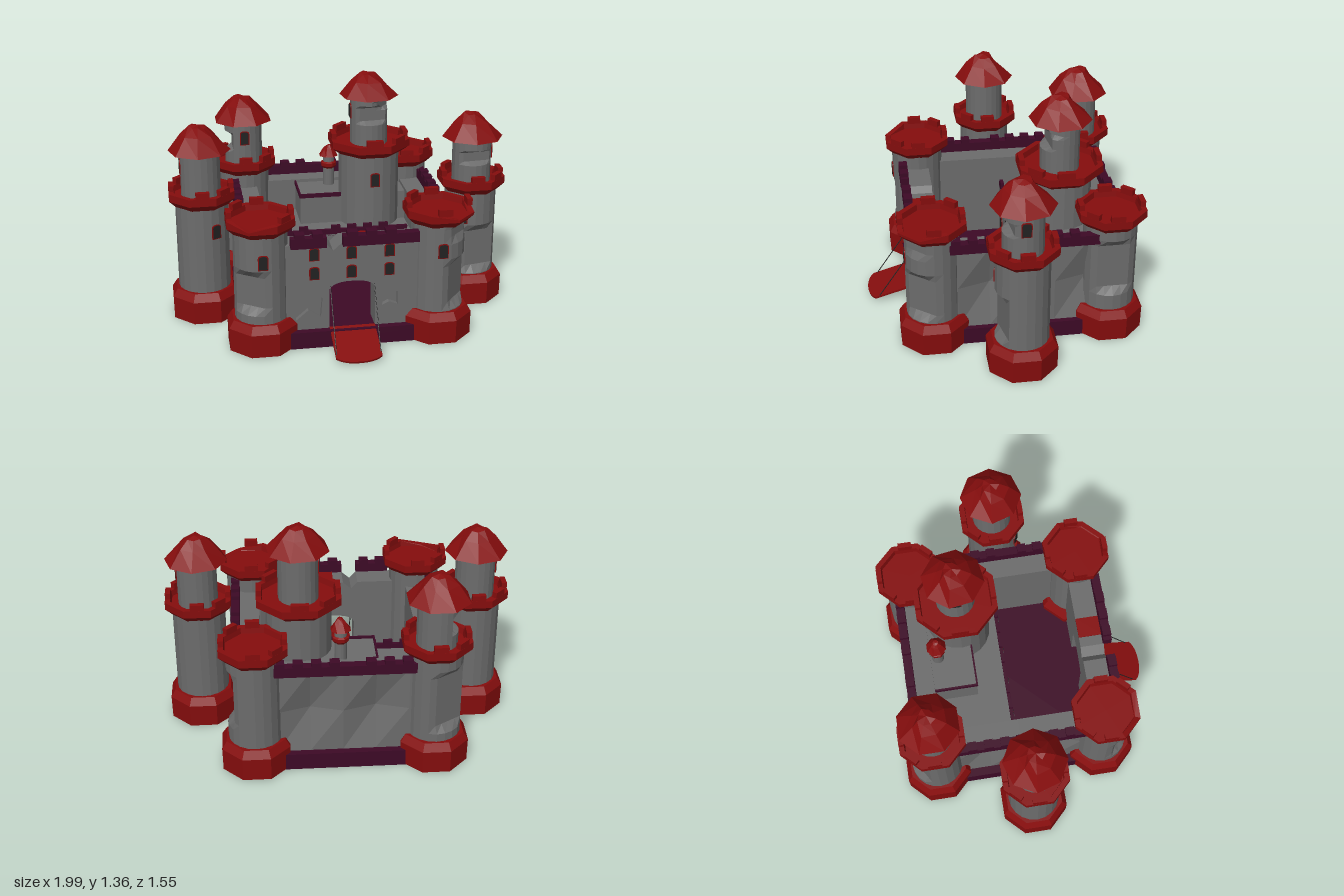
import * as THREE from 'three';

const mat = (name, hex) => {
  const m = new THREE.MeshStandardMaterial({ color: hex });
  m.name = name;
  return m;
};

export function createModel() {
  const castle = new THREE.Group();
  castle.name = 'castle';
  const stone = mat('stone grey', 0x6c6c6c);
  const red = mat('roof red', 0x850d0d);
  const purple = mat('dark purple', 0x3d0a26);
  const dark = mat('window dark', 0x222222);

  // Faceted mesh helper
  const add = (parent, name, geo, material, x = 0, y = 0, z = 0) => {
    const g = geo.index ? geo.toNonIndexed() : geo;
    g.computeVertexNormals();
    const m = new THREE.Mesh(g, material);
    m.name = name;
    m.position.set(x, y, z);
    parent.add(m);
    return m;
  };
  // Box given by its limits
  const block = (name, material, x0, x1, y0, y1, z0, z1) =>
    add(castle, name, new THREE.BoxGeometry(x1 - x0, y1 - y0, z1 - z0), material,
      (x0 + x1) / 2, (y0 + y1) / 2, (z0 + z1) / 2);
  const edit = (geo, rule) => {
    const p = geo.attributes.position, v = new THREE.Vector3();
    for (let i = 0; i < p.count; i++) {
      rule(v.fromBufferAttribute(p, i));
      p.setXYZ(i, v.x, v.y, v.z);
    }
    return geo;
  };
  // Octagonal turned part: radii are measured to the flats
  const octagon = pts => new THREE.LatheGeometry(
    pts.map(([r, y]) => new THREE.Vector2(r * 1.08, y)), 8).rotateY(Math.PI / 8);

  // Round shaft; each scar [angle, y0, y1, depth] slices a flat off the side
  const shaft = (parent, name, r, y0, y1, scars = []) => {
    const geo = new THREE.CylinderGeometry(r, r, y1 - y0, 20, 16).translate(0, (y0 + y1) / 2, 0);
    edit(geo, v => scars.forEach(([a, lo, hi, keep = 0.74]) => {
      const sx = Math.sin(a), sz = Math.cos(a), d = v.x * sx + v.z * sz - r * keep;
      if (v.y > lo && v.y < hi && d > 0) { v.x -= sx * d; v.z -= sz * d; }
    }));
    add(parent, name, geo, stone);
  };
  // Flared battlement with a floor; chip lowers the rim in one direction
  const crown = (parent, r, out, y, chip) => {
    const near = a => chip !== undefined && Math.cos(a - chip) > 0.75;
    const geo = octagon([[r, y], [out, y + 0.04], [out, y + 0.085],
      [out - 0.03, y + 0.085], [out - 0.035, y + 0.05], [0, y + 0.05]]);
    edit(geo, v => {
      if (v.y > y + 0.08 && near(Math.atan2(v.x, v.z))) v.y -= 0.03;
    });
    add(parent, 'battlement', geo, red);
    for (let i = 0; i < 8; i++) {
      const a = i * Math.PI / 4;
      if (near(a) || i % 4 === 3) continue;
      const m = add(parent, 'merlon', new THREE.BoxGeometry(out * 0.42, 0.04, 0.03), red,
        Math.sin(a) * (out - 0.016), y + 0.1, Math.cos(a) * (out - 0.016));
      m.rotation.y = a;
    }
  };
  // Blunt, slightly crooked roof
  const roof = (parent, r, y, h, turn) => {
    const geo = octagon([[0, 0], [r, 0], [r * 0.55, h * 0.62], [r * 0.27, h * 0.93], [0, h]]);
    edit(geo, v => {
      if (v.y > 0.1 * h && v.y < 0.99 * h) {
        const k = Math.sin(v.x * 90 + v.z * 57 + turn);
        v.x *= 1 + 0.12 * k; v.z *= 1 + 0.12 * k; v.y += 0.05 * h * k;
      }
    });
    add(parent, 'roof', geo, red, 0, y, 0).rotation.y = turn;
  };
  // Arched window plate with a red surround
  const archShape = (w, h) => {
    const s = new THREE.Shape();
    s.moveTo(-w / 2, -h / 2).lineTo(w / 2, -h / 2).lineTo(w / 2, h / 2 - w * 0.3);
    s.quadraticCurveTo(w / 2, h / 2, 0, h / 2).quadraticCurveTo(-w / 2, h / 2, -w / 2, h / 2 - w * 0.3);
    return s;
  };
  const plate = s => new THREE.ExtrudeGeometry(s, { depth: 0.006, bevelEnabled: false, curveSegments: 4 });
  const windowAt = (parent, x, y, z, a = 0, h = 0.07) => {
    const g = new THREE.Group();
    g.name = 'window';
    add(g, 'windowFrame', plate(archShape(0.058, h + 0.008)), red);
    add(g, 'windowPane', plate(archShape(0.047, h - 0.002)), dark, 0, 0, 0.003);
    g.position.set(x, y, z);
    g.rotation.y = a;
    parent.add(g);
  };
  const towerWindow = (t, a, r, y) => windowAt(t, Math.sin(a) * r, y, Math.cos(a) * r, a, 0.08);

  // Outer towers
  const H = Math.PI / 2;
  const towers = [
    { x: -0.515, z: 0.42, chip: -0.4, scars: [[-0.6, 0.27, 0.49]], win: 0 },
    { x: 0.49, z: 0.42, chip: 0.8, scars: [[0.9, 0.2, 0.47], [0.8, 0.62, 0.72, 0.85]], win: 0 },
    { x: -0.515, z: -0.585, scars: [[-2.6, 0.28, 0.62]], top: [[-H, 0.84, 0.94, 0.6]], topWin: 0 },
    { x: 0.49, z: -0.585, scars: [[H, 0.32, 0.62]] },
    { x: -0.81, z: -0.04, win: 0.5, scars: [], top: [], topWin: -H, turn: 0.3 },
    { x: 0.8, z: -0.04, win: -0.5, scars: [[0.2, 0.2, 0.5]], top: [[0.1, 0.87, 0.94, 0.6]], topWin: H, turn: 0.3 },
  ];
  towers.forEach(t => {
    const g = new THREE.Group();
    g.name = 'tower';
    g.position.set(t.x, 0, t.z);
    add(g, 'towerBase', octagon([[0.145, 0.003], [0.19, 0.003], [0.192, 0.14], [0.165, 0.185], [0.14, 0.185]]), red);
    shaft(g, 'towerShaft', 0.153, 0.01, 0.73, t.scars);
    crown(g, 0.15, 0.188, 0.7, t.chip);
    if (t.win !== undefined) towerWindow(g, t.win, 0.15, 0.56);
    if (t.top) {
      shaft(g, 'upperShaft', 0.115, 0.74, 1.03, t.top);
      roof(g, 0.167, 1.02, 0.15, t.turn || 0);
      towerWindow(g, t.topWin, 0.112, 0.93);
    }
    castle.add(g);
  });

  // Ground slab
  block('groundSlab', purple, -0.62, 0.6, 0, 0.1, -0.69, 0.54);

  // Front wall: notched top, open gate, scarred outer layer
  const frontWall = (z, depth, scars) => {
    const s = new THREE.Shape();
    s.moveTo(-0.56, 0.1).lineTo(-0.14, 0.1).lineTo(-0.14, 0.34);
    s.quadraticCurveTo(-0.12, 0.385, -0.01, 0.385).quadraticCurveTo(0.1, 0.385, 0.12, 0.34);
    s.lineTo(0.12, 0.1).lineTo(0.56, 0.1).lineTo(0.56, 0.62).lineTo(-0.07, 0.62);
    s.lineTo(-0.12, 0.575).lineTo(-0.16, 0.62).lineTo(-0.56, 0.62);
    scars.forEach(p => s.holes.push(new THREE.Path(p.map(([x, y]) => new THREE.Vector2(x, y)))));
    add(castle, 'frontWall', new THREE.ExtrudeGeometry(s, { depth, bevelEnabled: false, curveSegments: 6 }), stone, 0, 0, z);
  };
  frontWall(0.36, 0.11, []);
  frontWall(0.47, 0.03, [
    [[-0.33, 0.16], [-0.34, 0.31], [-0.26, 0.34], [-0.18, 0.29], [-0.19, 0.17], [-0.26, 0.22]],
    [[0.16, 0.22], [0.18, 0.31], [0.25, 0.3], [0.25, 0.22], [0.2, 0.24]]]);
  for (const x of [-0.225, -0.015, 0.2]) for (const y of [0.445, 0.56]) windowAt(castle, x, y, 0.498);
  block('gateWalkway', red, -0.01, 0.11, 0.617, 0.625, 0.36, 0.5);

  // Side and back walls with battered outer faces
  const batteredWall = (w, x, z, turn, dents) => {
    const geo = new THREE.BoxGeometry(w, 0.52, 0.12, 6, 2, 1);
    edit(geo, v => {
      if (v.z > 0 && Math.abs(v.y) < 0.1)
        dents.forEach(i => { if (Math.abs(v.x - (i / 6 - 0.5) * w) < 0.01) v.z -= 0.055; });
    });
    add(castle, 'curtainWall', geo, stone, x, 0.36, z).rotation.y = turn;
  };
  batteredWall(1.1, 0, -0.59, Math.PI, [2, 4]);
  batteredWall(1.1, -0.51, -0.08, -H, [2, 4]);
  batteredWall(1.1, 0.51, -0.08, H, [2, 5]);

  // Crenellated parapets along a line
  const parapet = (x, y, z, length, turn, h = 0.06, t = 0.05) => {
    const g = new THREE.Group();
    g.name = 'parapet';
    add(g, 'parapetRail', new THREE.BoxGeometry(length, h, t), purple, 0, h / 2, 0);
    const n = Math.max(2, Math.round(length / 0.1));
    for (let i = 0; i < n; i++)
      if (i % 5 !== 3) add(g, 'parapetMerlon', new THREE.BoxGeometry(length / n * 0.55, 0.025, t), purple,
        (i + 0.5) * length / n - length / 2, h + 0.012, 0);
    g.position.set(x, y, z);
    g.rotation.y = turn;
    castle.add(g);
  };
  parapet(-0.26, 0.615, 0.52, 0.2, 0);
  parapet(0.145, 0.615, 0.52, 0.43, 0);
  parapet(0, 0.615, -0.665, 0.8, 0);
  for (const x of [-0.59, 0.59]) parapet(x, 0.615, -0.08, 0.85, H);

  // Inner hall and raised terrace
  block('innerHall', stone, -0.46, 0.46, 0.1, 0.42, -0.54, -0.09);
  parapet(-0.01, 0.41, -0.1, 0.88, 0, 0.04, 0.02);
  block('terrace', stone, -0.2, 0.46, 0.42, 0.6, -0.54, -0.28);
  block('terraceTrim', purple, -0.205, 0.05, 0.59, 0.615, -0.285, -0.275);
  block('terraceTrim', purple, -0.205, -0.195, 0.59, 0.615, -0.53, -0.275);
  for (const x of [-0.33, -0.12, 0.08, 0.29]) for (const y of [0.21, 0.32]) windowAt(castle, x, y, -0.092);

  // Keep
  const keep = new THREE.Group();
  keep.name = 'keep';
  keep.position.set(0.23, 0, -0.335);
  shaft(keep, 'keepShaft', 0.185, 0.4, 0.89);
  crown(keep, 0.185, 0.235, 0.87);
  shaft(keep, 'keepUpperShaft', 0.113, 0.91, 1.23, [[0.1, 1.06, 1.16, 0.6], [0.9, 1.13, 1.2, 0.75]]);
  roof(keep, 0.165, 1.215, 0.14, 0.15);
  towerWindow(keep, 0.05, 0.182, 0.73);
  towerWindow(keep, -H, 0.11, 1.12);
  castle.add(keep);

  // Small turret beside the keep
  const turret = new THREE.Group();
  turret.name = 'turret';
  turret.position.set(0.005, 0, -0.485);
  shaft(turret, 'turretShaft', 0.035, 0.58, 0.81);
  add(turret, 'turretCollar', octagon([[0.03, 0.705], [0.045, 0.725], [0.045, 0.745], [0.03, 0.755]]), red);
  roof(turret, 0.055, 0.79, 0.07, 0);
  castle.add(turret);

  // Drawbridge and chains
  const deck = new THREE.Shape();
  deck.moveTo(-0.13, 0).lineTo(0.13, 0).lineTo(0.13, 0.25);
  deck.quadraticCurveTo(0.09, 0.29, 0, 0.29).quadraticCurveTo(-0.09, 0.29, -0.13, 0.25);
  add(castle, 'drawbridge', new THREE.ExtrudeGeometry(deck, { depth: 0.012, bevelEnabled: false, curveSegments: 5 }),
    red, -0.01, 0.106, 0.5).rotation.x = H + 0.29;
  for (const x of [-0.135, 0.115]) {
    const path = new THREE.LineCurve3(new THREE.Vector3(x, 0.36, 0.5), new THREE.Vector3(x, 0.04, 0.715));
    add(castle, 'chain', new THREE.TubeGeometry(path, 1, 0.003, 5), dark);
  }
  return castle;
}
